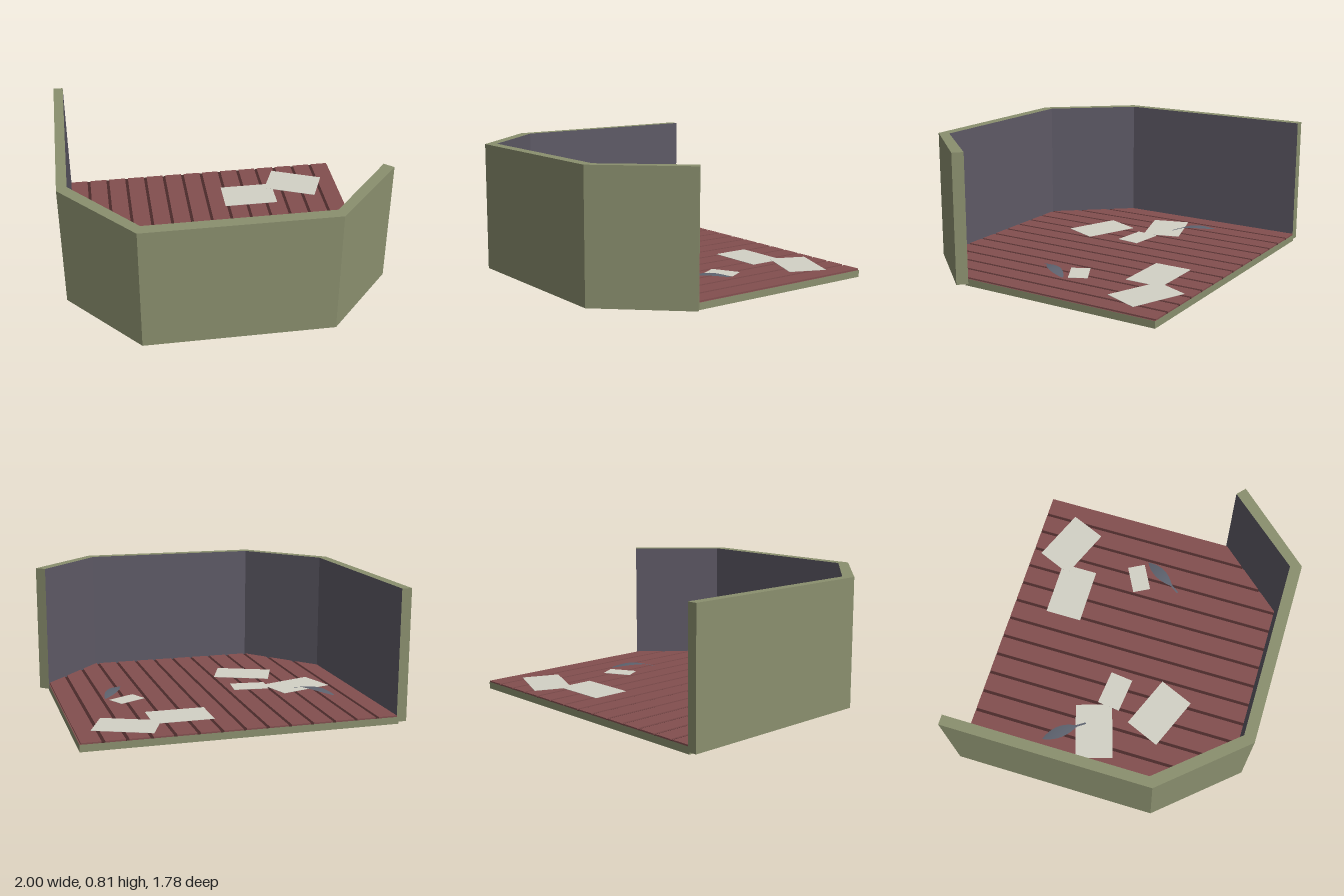
import * as THREE from 'three';

const mat = (name, color, side = THREE.FrontSide) => {
  const m = new THREE.MeshStandardMaterial({ color, side });
  m.name = name;
  return m;
};

// Prism from a plan outline of [x, z] points
function prism(outline, height, y) {
  const shape = new THREE.Shape(outline.map(([x, z]) => new THREE.Vector2(x, -z)));
  const geo = new THREE.ExtrudeGeometry(shape, { depth: height, bevelEnabled: false });
  return geo.rotateX(-Math.PI / 2).translate(0, y, 0);
}

// Flat quads, each given as four counter-clockwise corners
function quads(list) {
  const pos = list.flatMap(([a, b, c, d]) => [a, b, c, a, c, d].flat());
  const geo = new THREE.BufferGeometry();
  geo.setAttribute('position', new THREE.Float32BufferAttribute(pos, 3));
  geo.computeVertexNormals();
  return geo;
}

export function createModel() {
  const group = new THREE.Group();
  const olive = mat('olive', 0x8a8f6e);
  const slate = mat('slate wall lining', 0x5e5a66);
  const red = mat('red wood', 0x834f4f);
  const groove = mat('dark groove', 0x4a2a2a);
  const paper = mat('paper', 0xd2d1c6);
  const plume = mat('feather grey', 0x5d626e, THREE.DoubleSide);
  const add = (name, geo, material, parent = group) => {
    const mesh = new THREE.Mesh(geo, material);
    mesh.name = name;
    parent.add(mesh);
    return mesh;
  };

  // Floor slab: red underside, olive rim
  const back = -0.895;
  const floor = [[-0.95, back], [-0.95, 0.385], [-0.55, 0.84], [0.55, 0.84], [0.945, 0.4], [0.945, back]];
  add('floorSlab', prism(floor, 0.043, 0), [red, olive]);

  // Planks with dark grooves between them, trimmed to the angled front
  const frontZ = (x) => Math.min(0.835, 0.835 - (Math.abs(x) - 0.55) * 1.12);
  const pitch = 0.1355, half = 0.01;
  for (let i = -7; i < 7; i++) {
    const x0 = Math.max(i * pitch + half, -0.948), x1 = Math.min((i + 1) * pitch - half, 0.945);
    add('plank', prism([[x0, back], [x0, frontZ(x0)], [x1, frontZ(x1)], [x1, back]], 0.009, 0.043), red);
    if (i > -7) {
      const x = i * pitch, z = frontZ(Math.abs(x) + half);
      add('groove', new THREE.BoxGeometry(half * 2, 0.003, z - back).translate(x, 0.0435, (z + back) / 2), groove);
    }
  }

  // Folded wall: olive outside, rim and ends, slate inside
  const outer = [[-1, back], [-1, 0.4], [-0.575, 0.89], [0.58, 0.89], [1, 0.425]];
  const inner = [[-0.938, back], [-0.938, 0.365], [-0.55, 0.82], [0.56, 0.82], [0.947, 0.378]];
  const lo = ([x, z]) => [x, 0.013, z], hi = ([x, z]) => [x, 0.812, z];
  const shell = [], lining = [];
  for (let i = 0; i < 4; i++) {
    const a = outer[i], b = outer[i + 1], c = inner[i], d = inner[i + 1];
    shell.push([lo(a), lo(b), hi(b), hi(a)], [hi(a), hi(b), hi(d), hi(c)], [lo(c), lo(d), lo(b), lo(a)]);
    lining.push([lo(d), lo(c), hi(c), hi(d)]);
  }
  shell.push([lo(inner[0]), lo(outer[0]), hi(outer[0]), hi(inner[0])]);
  shell.push([lo(outer[4]), lo(inner[4]), hi(inner[4]), hi(outer[4])]);
  add('wallShell', quads(shell), olive);
  add('wallLining', quads(lining), slate);

  // Loose paper sheets: x, z, length, width, turn in degrees
  [
    [0.298, -0.55, 0.365, 0.24, 0],
    [0.637, -0.66, 0.363, 0.24, 22.7],
    [-0.597, -0.105, 0.36, 0.24, -17.5],
    [-0.298, -0.052, 0.225, 0.15, 6.5],
    [-0.355, 0.27, 0.363, 0.24, 22.7],
    [0.528, -0.134, 0.185, 0.118, -28],
  ].forEach(([x, z, l, w, turn], i) => {
    const sheet = add('paperSheet', new THREE.BoxGeometry(l, 0.002, w), paper);
    sheet.position.set(x, 0.0535 + (i % 2) * 0.001, z);
    sheet.rotation.y = -THREE.MathUtils.degToRad(turn);
  });

  // Arched feathers: a leaf-shaped vane narrowing to a thin quill
  const feather = (x0, z0, x1, z1) => {
    const length = Math.hypot(x1 - x0, z1 - z0);
    const geo = new THREE.PlaneGeometry(1, 2, 20, 2).rotateX(-Math.PI / 2);
    const p = geo.attributes.position;
    for (let i = 0; i < p.count; i++) {
      const t = p.getX(i) + 0.5, side = p.getZ(i);
      const vane = t < 0.8 ? 0.037 * Math.sin(Math.PI * t / 0.8) ** 0.8 : 0;
      const width = Math.max(vane, t > 0.5 ? 0.006 : 0);
      p.setXYZ(i, t * length, 0.057 + 0.024 * Math.sin(Math.PI * t) - 0.003 * Math.abs(side) * vane / 0.037, side * width);
    }
    geo.computeVertexNormals();
    const mesh = add('feather', geo, plume);
    mesh.position.set(x0, 0, z0);
    mesh.rotation.y = -Math.atan2(z1 - z0, x1 - x0);
  };
  feather(-0.745, -0.412, -0.562, -0.172);
  feather(0.66, -0.105, 0.5, 0.15);

  return group;
}
